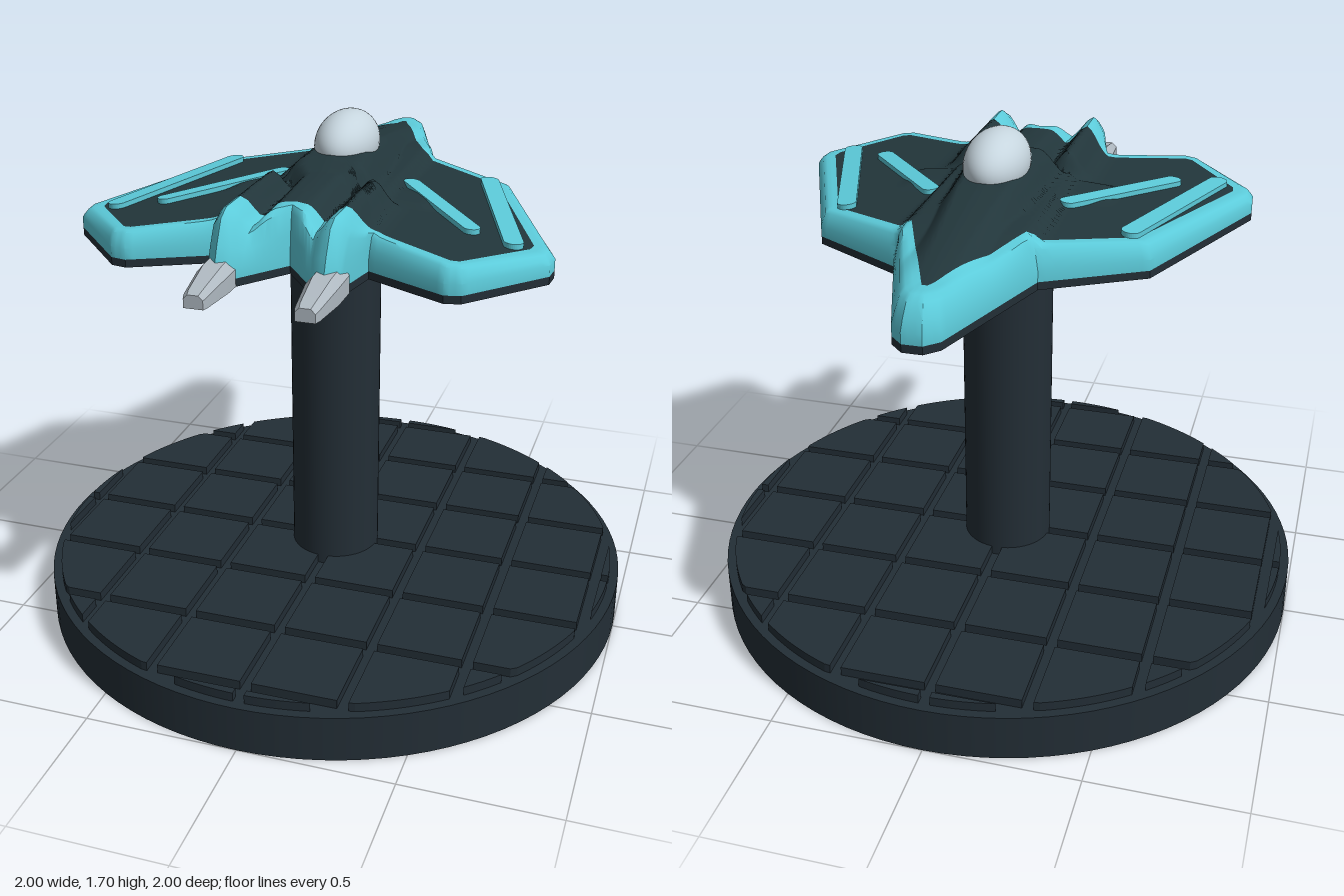
import * as THREE from 'three';
import { toCreasedNormals } from 'three/addons/utils/BufferGeometryUtils.js';

const mat = (name, color) => {
  const m = new THREE.MeshStandardMaterial({ color });
  m.name = name;
  return m;
};
const { smoothstep, lerp } = THREE.MathUtils;

// Half outlines from nose to tail as [x, z]; outer edge and inner edge of the coloured rim
const OUTER = [[0.03, -0.97], [0.07, -0.93], [0.22, -0.48], [0.52, -0.31], [0.755, 0.25], [0.75, 0.31],
  [0.54, 0.54], [0.49, 0.55], [0.235, 0.425], [0.2, 0.6], [0.165, 0.64], [0.13, 0.62], [0, 0.45]];
const INNER = [[0.008, -0.85], [0.02, -0.82], [0.175, -0.44], [0.475, -0.27], [0.69, 0.25], [0.685, 0.285],
  [0.52, 0.485], [0.495, 0.49], [0.25, 0.375], [0.21, 0.4], [0.165, 0.42], [0.12, 0.41], [0, 0.39]];

// Piecewise linear lookup
function curve(points, t) {
  for (let i = 1; i < points.length; i++) {
    const [a, u] = points[i - 1], [b, v] = points[i];
    if (t <= b) return lerp(u, v, Math.max(0, (t - a) / (b - a)));
  }
  return points[points.length - 1][1];
}

const wingY = (x) => 1.488 - 0.078 * Math.abs(x);

// Height of the upper hull: wing slope, tapered spine, shoulders and two engine humps
function hullY(x, z) {
  const ax = Math.abs(x);
  const spine = curve([[-0.82, 0], [-0.3, 0.092], [-0.05, 0.11], [0.06, 0.105], [0.12, 0.075], [0.45, 0.055]], z);
  const half = curve([[-0.8, 0.05], [-0.3, 0.11], [0.08, 0.14], [0.14, 0.07], [0.6, 0.06]], z);
  const body = spine * (1 - smoothstep(ax, half * 0.6, half + 0.06));
  const shoulder = 0.03 * smoothstep(z, -0.7, -0.4) * (1 - smoothstep(ax, 0.18, 0.22)) * (1 - smoothstep(z, 0.08, 0.14));
  const hump = 0.082 * smoothstep(z, 0.08, 0.14) * Math.exp(-(((ax - 0.165) / 0.05) ** 2));
  const plate = 0.012 * (1 - smoothstep(ax, 0.3, 0.36)) * smoothstep(z, -0.1, 0) * (1 - smoothstep(z, 0.08, 0.12));
  return wingY(x) + Math.max(body, shoulder, hump, plate);
}

// Mirrors the half outline and divides its edges; counts follow OUTER so all rings match
function outline(half) {
  const mirror = (p) => [...p, ...p.slice(0, -1).reverse().map(([x, z]) => [-x, z])];
  const ref = mirror(OUTER), pts = mirror(half), out = [];
  pts.forEach((p, i) => {
    const j = (i + 1) % pts.length, q = pts[j];
    const n = Math.max(2, Math.ceil(Math.hypot(ref[j][0] - ref[i][0], ref[j][1] - ref[i][1]) / 0.025));
    for (let k = 0; k < n; k++) out.push([lerp(p[0], q[0], k / n), lerp(p[1], q[1], k / n)]);
  });
  return out;
}

// Skin over closed rings of [x, y, z]
function loft(rings, crease) {
  const n = rings[0].length, index = [];
  for (let r = 0; r < rings.length - 1; r++) {
    for (let i = 0; i < n; i++) {
      const a = r * n + i, b = r * n + (i + 1) % n, c = b + n, d = a + n;
      index.push(a, c, b, a, d, c);
    }
  }
  const g = new THREE.BufferGeometry();
  g.setAttribute('position', new THREE.Float32BufferAttribute(rings.flat(2), 3));
  g.setIndex(index);
  return toCreasedNormals(g, crease);
}

// Rounded bar between two points that follows the wing slope
function barGeometry(x0, z0, x1, z1, r) {
  const angle = Math.atan2(z1 - z0, x1 - x0), s = new THREE.Shape();
  s.absarc(x1, -z1, r, -angle - Math.PI / 2, -angle + Math.PI / 2, false);
  s.absarc(x0, -z0, r, -angle + Math.PI / 2, -angle + Math.PI * 1.5, false);
  const g = new THREE.ExtrudeGeometry(s, { depth: 0.036, bevelEnabled: false, curveSegments: 8 });
  g.rotateX(-Math.PI / 2);
  const p = g.attributes.position;
  for (let i = 0; i < p.count; i++) p.setY(i, p.getY(i) + wingY(p.getX(i)) - 0.02);
  g.computeVertexNormals();
  return g;
}

// Square floor tile trimmed by the round edge of the base
function tileGeometry(x0, x1, z0, z1, R) {
  const near = z0 > 0 ? z0 : z1 < 0 ? -z1 : 0;
  if (near >= R) return null;
  const reach = Math.sqrt(R * R - near * near);
  const a = Math.max(x0, -reach), b = Math.min(x1, reach);
  if (b - a < 0.01) return null;
  const low = [], high = [], n = 14;
  for (let i = 0; i <= n; i++) {
    const x = lerp(a, b, i / n), c = Math.sqrt(Math.max(0, R * R - x * x));
    const lo = Math.max(z0, -c), hi = Math.min(z1, c);
    low.push(new THREE.Vector2(x, -lo));
    if (hi - lo > 1e-4) high.push(new THREE.Vector2(x, -hi));
  }
  const g = new THREE.ExtrudeGeometry(new THREE.Shape([...high, ...low.reverse()]), { depth: 0.035, bevelEnabled: false });
  return g.rotateX(-Math.PI / 2);
}

export function createModel() {
  const model = new THREE.Group();
  const standMat = mat('dark slate', 0x232e36);
  const hullMat = mat('dark teal', 0x22363b);
  const trimMat = mat('cyan', 0x5ccbda);
  const glassMat = mat('pale glass', 0xc6d5de);
  const metalMat = mat('light grey metal', 0xb0bac2);
  const add = (name, geometry, material, parent = model) => {
    const m = new THREE.Mesh(geometry, material);
    m.name = name;
    parent.add(m);
    return m;
  };

  // Stand
  add('base', new THREE.CylinderGeometry(1, 1, 0.155, 96), standMat).position.y = 0.0775;
  add('pillar', new THREE.CylinderGeometry(0.15, 0.15, 1.2, 48), standMat).position.y = 0.745;
  const tiles = new THREE.Group();
  tiles.name = 'baseTiles';
  model.add(tiles);
  const pitch = 0.309, gap = 0.018;
  for (let i = -4; i < 4; i++) {
    for (let j = -4; j < 4; j++) {
      const g = tileGeometry(i * pitch + gap, (i + 1) * pitch - gap, j * pitch + gap, (j + 1) * pitch - gap, 0.97);
      if (g) add('baseTile', g, standMat, tiles).position.y = 0.15;
    }
  }

  // Hull: underside, coloured rim, upper deck
  const ship = new THREE.Group();
  ship.name = 'ship';
  model.add(ship);
  const outer = outline(OUTER), inner = outline(INNER);
  const flat = (y, k = 1) => outer.map(([x, z]) => [x * k, y, z * k]);
  add('underside', loft([flat(1.34, 0), flat(1.34), flat(1.365)], 0.5), standMat, ship);

  const rimRing = ([s, rise]) => outer.map(([x, z], i) => {
    const px = lerp(x, inner[i][0], s), pz = lerp(z, inner[i][1], s);
    return [px, lerp(1.4, hullY(px, pz), rise), pz];
  });
  const bevel = [[0, 0], [0.12, 0.4], [0.3, 0.86], [0.5, 1], [0.75, 1], [1, 1]];
  add('rim', loft([flat(1.365), ...bevel.map(rimRing)], 0.7), trimMat, ship);

  const deck = [];
  for (let k = 40; k >= 0; k--) {
    deck.push(inner.map(([x, z]) => [x * k / 40, hullY(x * k / 40, z * k / 40), z * k / 40]));
  }
  add('upperDeck', loft(deck, 0.9), hullMat, ship);

  // Canopy
  const canopy = add('canopy', new THREE.SphereGeometry(1, 40, 24), glassMat, ship);
  canopy.scale.set(0.1, 0.105, 0.168);
  canopy.position.set(0, 1.595, -0.125);

  for (const s of [1, -1]) {
    const side = s > 0 ? 'left' : 'right';
    // Raised wing bars
    const ends = (x0, z0, x1, z1, r) => barGeometry(s * x0, z0, s * x1, z1, r);
    add(side + 'OuterWingBar', ends(0.45, -0.26, 0.635, 0.285, 0.03), trimMat, ship);
    add(side + 'InnerWingBar', ends(0.225, -0.11, 0.495, 0.225, 0.027), trimMat, ship);

    // Tapered exhaust with chamfered top
    const section = [[-0.05, 0], [-0.05, 0.055], [-0.028, 0.082], [0.028, 0.082], [0.05, 0.055], [0.05, 0]];
    const ring = (z, kx, ky) => section.map(([x, y]) => [s * 0.165 + x * kx, 1.34 + y * ky, z]);
    const closed = (z) => section.map(() => [s * 0.165, 1.36, z]);
    add(side + 'Exhaust', loft([closed(0.55), ring(0.55, 1, 1), ring(0.65, 1, 0.95), ring(0.78, 0.72, 0.6),
      ring(0.8, 0.6, 0.5), closed(0.8)], 0.4), metalMat, ship);
  }
  return model;
}
